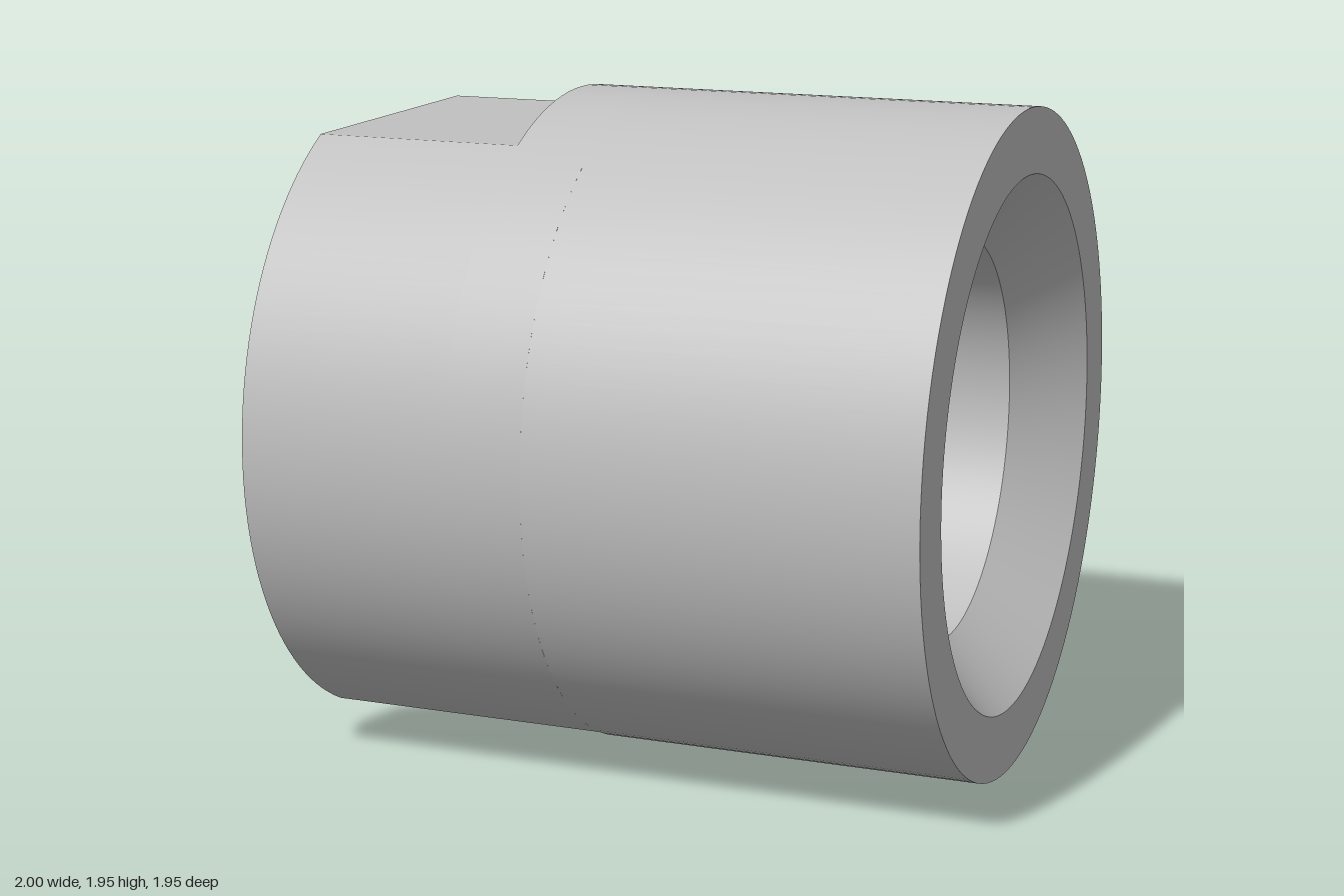
import * as THREE from 'three';
import { toCreasedNormals } from 'three/addons/utils/BufferGeometryUtils.js';

const R = 0.977, CY = 0.977;            // outer radius, axis height
const BORE = 0.59, MOUTH = 0.785;       // bore radius, chamfer mouth radius
const CHAMFER = MOUTH - BORE;           // 45 degree chamfers
const FLAT = 0.863, FLAT_END = -0.37;   // flat height above the axis, where it stops
const SLOT = 0.436, SLOT_END = -0.14;   // slot half width, where it stops
const FLAT_ANGLE = Math.acos(FLAT / R);

const arc = (from, to, n) => Array.from({ length: n + 1 }, (_, i) => from + (to - from) * i / n);

// Angles run from the bottom, over the front (+z), round to the back
const point = (x, r, a) => new THREE.Vector3(x, CY - r * Math.cos(a), r * Math.sin(a));

// Cross-section loop, optionally opened by the slot and trimmed by the flat
function ring(x, r, slotted, flat) {
  const s = slotted ? Math.asin(SLOT / r) : 0;
  const angles = [
    ...arc(s, Math.PI - FLAT_ANGLE, 48),
    ...arc(Math.PI - FLAT_ANGLE, Math.PI + FLAT_ANGLE, 20).slice(1),
    ...arc(Math.PI + FLAT_ANGLE, 2 * Math.PI - s, 48).slice(1),
  ];
  return angles.map((a) => {
    const c = -Math.cos(a);
    return point(x, flat && c > 0 ? Math.min(r, FLAT / c) : r, a);
  });
}

// Skin a list of loops, leaving out triangles without area
function loft(loops) {
  const pos = [];
  const add = (a, b, c) => {
    const area = b.clone().sub(a).cross(c.clone().sub(a)).length();
    if (area > 1e-8) for (const p of [a, b, c]) pos.push(p.x, p.y, p.z);
  };
  for (let i = 0; i + 1 < loops.length; i++) {
    const p = loops[i], q = loops[i + 1];
    for (let j = 0; j + 1 < p.length; j++) {
      add(p[j], q[j], q[j + 1]);
      add(p[j], q[j + 1], p[j + 1]);
    }
  }
  const geometry = new THREE.BufferGeometry();
  geometry.setAttribute('position', new THREE.Float32BufferAttribute(pos, 3));
  return toCreasedNormals(geometry, 0.4);
}

export function createModel() {
  const group = new THREE.Group();
  const metal = new THREE.MeshStandardMaterial({ color: 0xc0c0c0 });
  metal.name = 'grey metal';
  const addPart = (name, loops) => {
    const mesh = new THREE.Mesh(loft(loops), metal);
    mesh.name = name;
    group.add(mesh);
  };

  // Closed half of the sleeve: outside, end face, chamfer, bore
  addPart('closedSleeve', [
    ring(SLOT_END, R), ring(1, R), ring(1, MOUTH),
    ring(1 - CHAMFER, BORE), ring(SLOT_END, BORE),
  ]);

  // Slotted half: bore, chamfer, end face, flat, step, outside
  const chamfer = arc(BORE, MOUTH, 6).map((r) => [-1 + MOUTH - r, r]);
  addPart('slottedSleeve', [
    ring(SLOT_END, BORE, true),
    ...chamfer.map(([x, r]) => ring(x, r, true)),
    ring(-1, R, true, true), ring(FLAT_END, R, true, true),
    ring(FLAT_END, R, true), ring(SLOT_END, R, true),
  ]);

  // Parallel side walls of the slot
  const stations = [...chamfer.slice().reverse(), [SLOT_END, BORE]];
  const frontWall = stations.map(([x, r]) =>
    [point(x, r, Math.asin(SLOT / r)), point(x, R, Math.asin(SLOT / R))]);
  const backWall = stations.map(([x, r]) =>
    [point(x, R, -Math.asin(SLOT / R)), point(x, r, -Math.asin(SLOT / r))]);
  addPart('slotFrontWall', frontWall);
  addPart('slotBackWall', backWall);

  // Flat end of the slot
  addPart('slotEnd', [BORE, R].map((r) => {
    const s = Math.asin(SLOT / r);
    return arc(-s, s, 24).map((a) => point(SLOT_END, r, a));
  }));

  return group;
}
